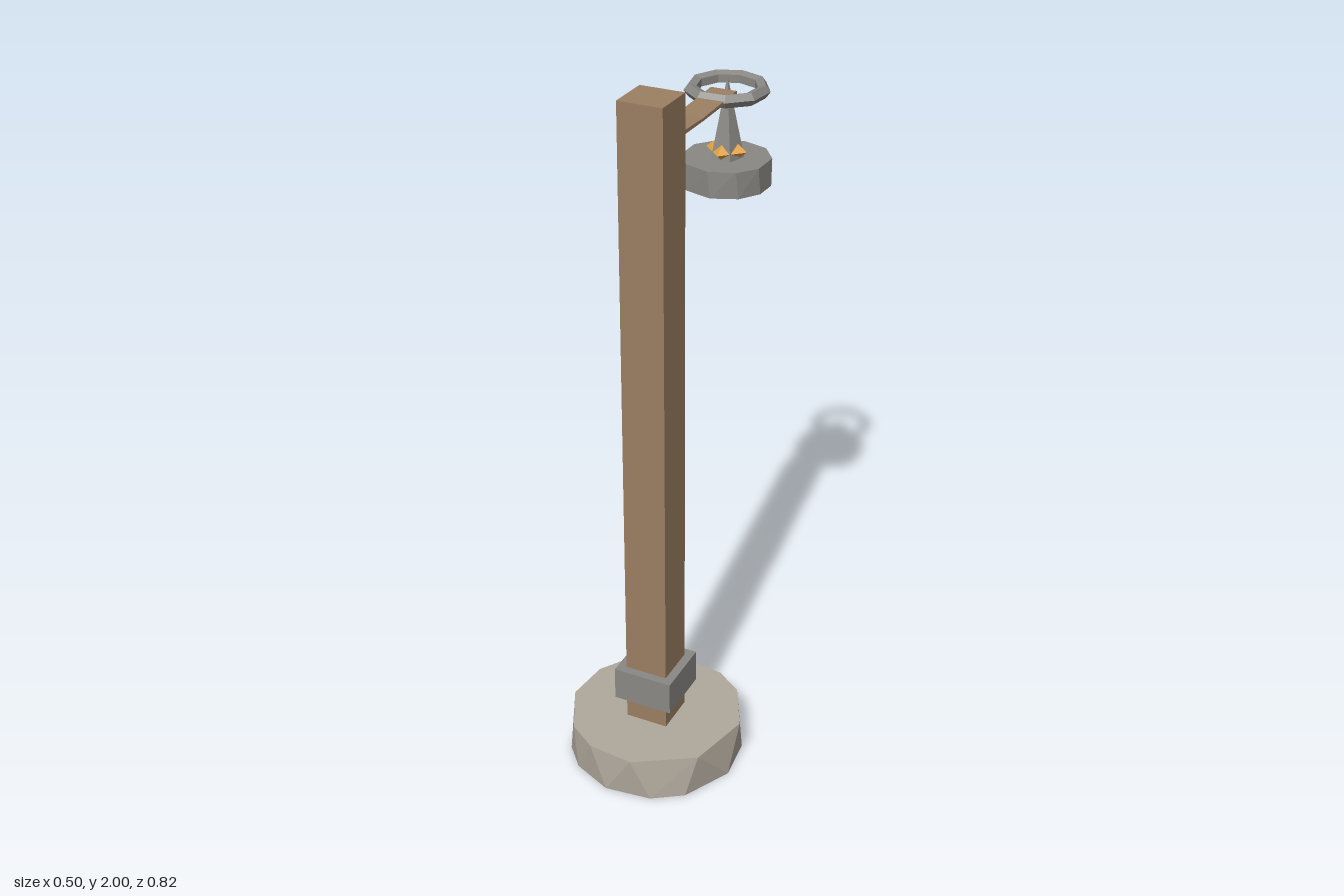
import * as THREE from 'three';
import { ConvexGeometry } from 'three/addons/geometries/ConvexGeometry.js';

const material = (color) => new THREE.MeshStandardMaterial({ color, flatShading: true, side: THREE.DoubleSide });

export function createModel() {
  const model = new THREE.Group();
  const stone = material(0xb0a89c);
  const wood = material(0x9b7f62);
  const iron = material(0x8a8884);
  const flame = material(0xe0a040);
  const postZ = 0.1625;
  const lampZ = -0.2875;

  const add = (name, geometry, mat, x, y, z) => {
    const mesh = new THREE.Mesh(geometry, mat);
    mesh.name = name;
    mesh.position.set(x, y, z);
    model.add(mesh);
    return mesh;
  };

  // Roughly hewn disc: hull of two rings with uneven corner angles
  const ring = (angles, radius, y) => angles.map((degrees) => {
    const a = THREE.MathUtils.degToRad(degrees);
    return new THREE.Vector3(Math.sin(a) * radius, y, Math.cos(a) * radius);
  });
  const hewnDisc = (top, bottom, radius, height) =>
    new ConvexGeometry([...ring(top, radius, height), ...ring(bottom, radius, 0)]);

  // Stone foot
  add('base', hewnDisc(
    [9, 54, 99, 135, 157, 189, 225, 249, 279, 315, 338],
    [22, 45, 81, 111, 141, 171, 202, 231, 261, 302, 322, 351],
    0.253, 0.125), stone, 0, 0, 0.16);

  // Post and its collar
  add('post', new THREE.BoxGeometry(0.125, 1.9, 0.125), wood, 0, 1.05, postZ);
  add('collar', new THREE.BoxGeometry(0.175, 0.1, 0.175), iron, 0, 0.25, postZ);

  // Thin, slightly sagging arm, drawn in side profile (reach, height)
  const profile = new THREE.Shape([
    [-0.12, 1.885], [0.06, 1.878], [0.265, 1.884],
    [0.265, 1.873], [0.06, 1.87], [-0.12, 1.872],
  ].map(([reach, y]) => new THREE.Vector2(reach, y)));
  const armGeometry = new THREE.ExtrudeGeometry(profile, { depth: 0.075, bevelEnabled: false });
  armGeometry.translate(0, 0, -0.0375).rotateY(Math.PI / 2);
  add('arm', armGeometry, wood, 0, 0, 0);

  // Lamp: pan, flame, spike and hanging ring
  add('lampPan', hewnDisc(
    [0, 36, 68, 108, 144, 180, 212, 250, 290, 324],
    [4, 40, 72, 104, 150, 180, 216, 252, 285, 324],
    0.124, 0.075), iron, 0, 1.613, lampZ);

  const flameMesh = add('flame', new THREE.OctahedronGeometry(0.06), flame, 0, 1.708, lampZ);
  flameMesh.scale.y = 0.8;

  const spike = add('spike', new THREE.ConeGeometry(0.049, 0.23, 5), iron, 0, 1.8, lampZ);
  spike.rotation.y = Math.PI;

  const hoop = new THREE.TorusGeometry(0.098, 0.019, 5, 9);
  hoop.rotateX(Math.PI / 2).rotateY(0.2);
  add('hangingRing', hoop, iron, 0, 1.878, lampZ);

  return model;
}
